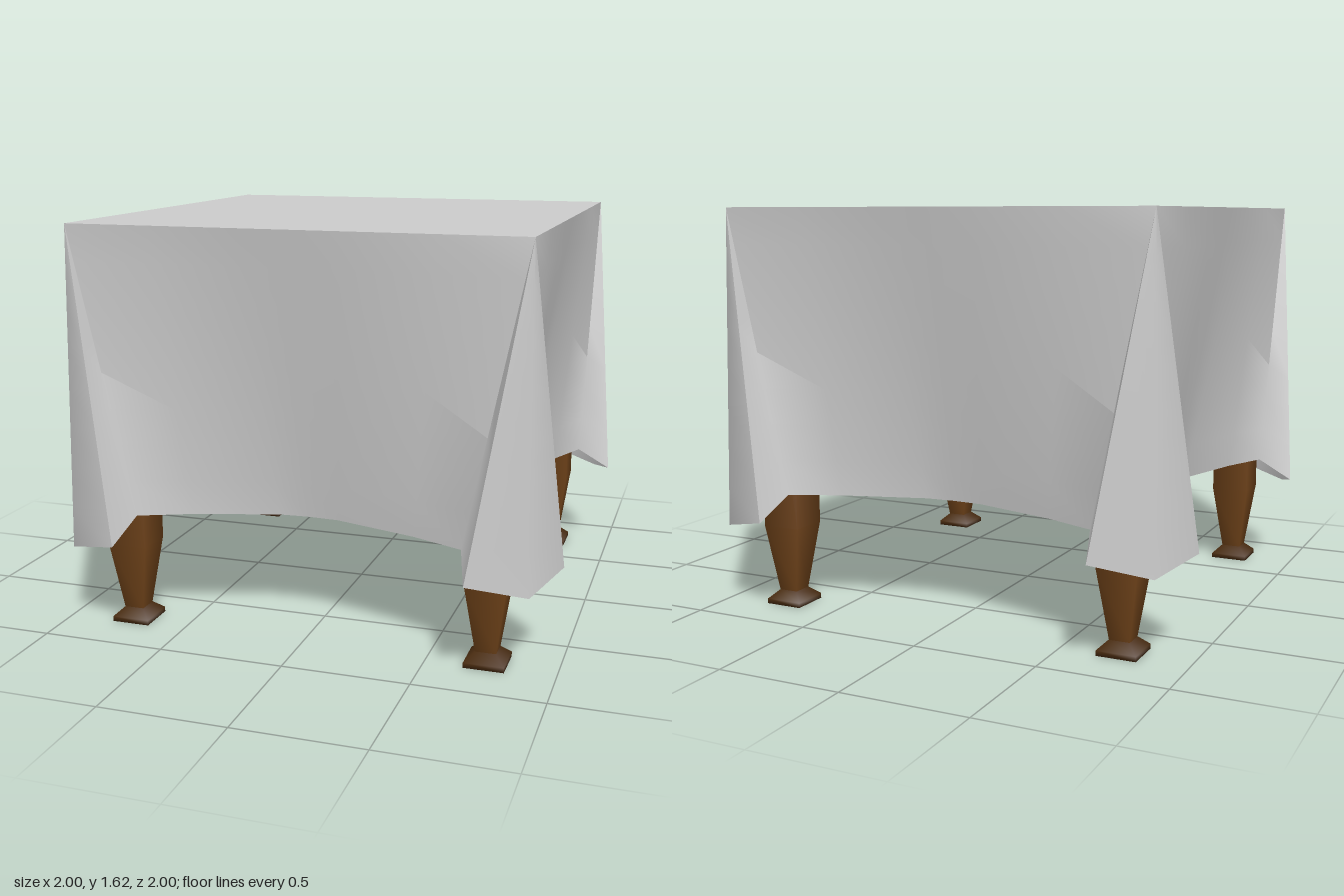
import * as THREE from 'three';
import { toCreasedNormals } from 'three/addons/utils/BufferGeometryUtils.js';

const TOP = 1.62, HALF = 0.89;

// Half of one side's hem, from its middle to the corner: [x, y, z, x where it meets the table edge]
const HEM = [
  [0, 0.485, 0.675, 0], [0.12, 0.485, 0.682, 0.2], [0.45, 0.485, 0.78, 0.55],
  [0.65, 0.485, 0.865, HALF], [0.69, 0.395, 1.0, HALF], [0.91, 0.345, 0.91, HALF],
];

// Hanging cloth: straight lines run from the table edge down to the folded hem
function drapeGeometry(rows = 8) {
  const mirrored = HEM.slice(1, -1).reverse().map(([x, y, z, t]) => [-x, y, z, -t]);
  const side = [...mirrored, ...HEM];
  const rails = [];
  for (let k = 0; k < 4; k++) {
    for (const [x, y, z, t] of side) {
      const upper = new THREE.Vector3(t, TOP, HALF);
      const lower = new THREE.Vector3(x, y, z);
      for (const p of [upper, lower]) {
        for (let i = 0; i < k; i++) p.set(p.z, p.y, -p.x);
      }
      rails.push([upper, lower]);
    }
  }
  const pos = [];
  const at = (i, r) => {
    const [u, l] = rails[i % rails.length];
    return u.clone().lerp(l, r / rows);
  };
  const tri = (a, b, c) => {
    if (a.distanceTo(c) > 1e-6) for (const p of [a, b, c]) pos.push(p.x, p.y, p.z);
  };
  for (let i = 0; i < rails.length; i++) {
    for (let r = 0; r < rows; r++) {
      const a = at(i, r), b = at(i, r + 1), c = at(i + 1, r + 1), d = at(i + 1, r);
      tri(a, b, c);
      tri(c, d, a);
    }
  }
  const geo = new THREE.BufferGeometry();
  geo.setAttribute('position', new THREE.Float32BufferAttribute(pos, 3));
  return toCreasedNormals(geo, 1.0);
}

// Square-section turned shape from [half width, height] pairs
function squareLathe(profile) {
  const pts = profile.map(([w, y]) => new THREE.Vector2(w * Math.SQRT2, y));
  return new THREE.LatheGeometry(pts, 4, Math.PI / 4);
}

export function createModel() {
  const model = new THREE.Group();
  const cloth = new THREE.MeshStandardMaterial({ color: 0xcccccc, side: THREE.DoubleSide });
  const wood = new THREE.MeshStandardMaterial({ color: 0x6b4018 });
  const darkWood = new THREE.MeshStandardMaterial({ color: 0x4a2c10 });

  const add = (parent, name, geometry, material) => {
    const mesh = new THREE.Mesh(geometry, material);
    mesh.name = name;
    parent.add(mesh);
    return mesh;
  };

  // Tablecloth
  const tablecloth = new THREE.Group();
  tablecloth.name = 'tablecloth';
  model.add(tablecloth);
  const flat = new THREE.PlaneGeometry(HALF * 2, HALF * 2).rotateX(-Math.PI / 2);
  add(tablecloth, 'clothTop', flat, cloth).position.y = TOP;
  add(tablecloth, 'clothDrape', drapeGeometry(), cloth);

  // Four tapered legs on small flared feet
  const legGeo = squareLathe([[0.04, 0.05], [0.08, 0.33], [0.08, 1.5], [0, 1.5]]);
  const footGeo = squareLathe([[0, 0], [0.078, 0], [0.078, 0.02], [0.04, 0.055]]);
  for (const sx of [-1, 1]) {
    for (const sz of [-1, 1]) {
      const leg = new THREE.Group();
      leg.name = (sz > 0 ? 'front' : 'back') + (sx > 0 ? 'Left' : 'Right') + 'Leg';
      leg.position.set(sx * 0.73, 0, sz * 0.73);
      add(leg, 'post', legGeo, wood);
      add(leg, 'foot', footGeo, darkWood);
      model.add(leg);
    }
  }
  return model;
}
